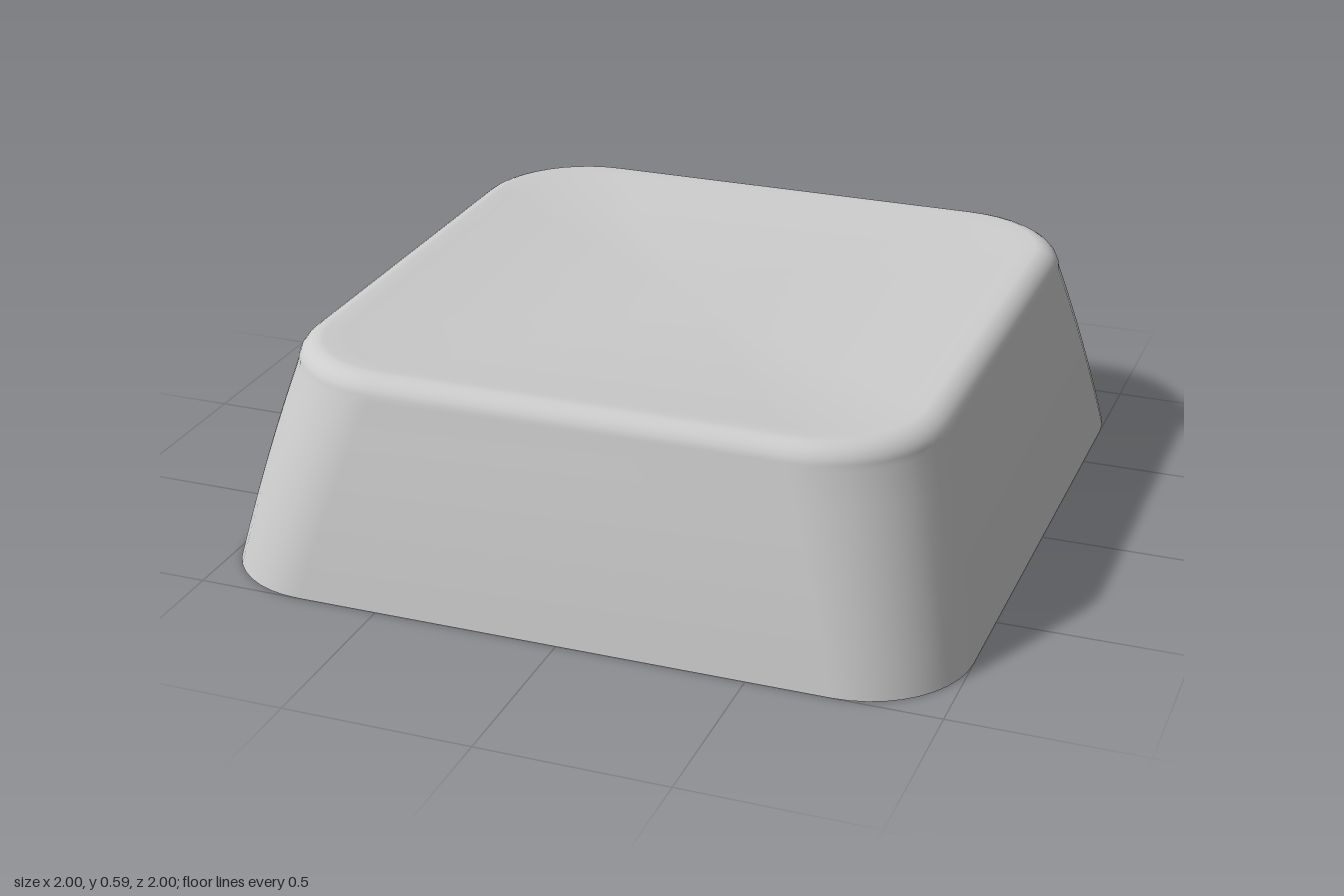
import * as THREE from 'three';

const CORNER_STEPS = 10;

// Rounded-square outline, returned as [x, z] points
function outline(half, radius) {
  const points = [];
  const c = half - radius;
  const signs = [[1, 1], [-1, 1], [-1, -1], [1, -1]];
  signs.forEach(([sx, sz], q) => {
    for (let i = 0; i <= CORNER_STEPS; i++) {
      const a = (q + i / CORNER_STEPS) * Math.PI / 2;
      points.push([sx * c + radius * Math.cos(a), sz * c + radius * Math.sin(a)]);
    }
  });
  return points;
}

// Skin stacked [half, radius, y] rings and close the last one at its centre
function skin(rings, centreY) {
  const positions = [], index = [];
  const n = 4 * (CORNER_STEPS + 1);
  for (const [half, radius, y] of rings) {
    for (const [x, z] of outline(half, radius)) positions.push(x, y, z);
  }
  positions.push(0, centreY, 0);
  const centre = rings.length * n;
  for (let j = 0; j < n; j++) {
    const k = (j + 1) % n;
    for (let i = 0; i < rings.length - 1; i++) {
      const a = i * n + j, b = i * n + k;
      index.push(a, a + n, b, b, a + n, b + n);
    }
    index.push(centre - n + j, centre, centre - n + k);
  }
  const geometry = new THREE.BufferGeometry();
  geometry.setAttribute('position', new THREE.Float32BufferAttribute(positions, 3));
  geometry.setIndex(index);
  geometry.computeVertexNormals();
  return geometry;
}

export function createModel() {
  const group = new THREE.Group();
  group.name = 'keycap';
  const plastic = new THREE.MeshStandardMaterial({ color: 0xcccccc });
  plastic.name = 'light grey plastic';

  // Gently bowed, tapering walls
  const rings = [];
  for (let i = 0; i <= 6; i++) {
    const t = i / 6;
    rings.push([1 - 0.1 * t - 0.022 * t * t, 0.28 + 0.045 * t, 0.53 * t]);
  }
  // Rounded rim
  for (let i = 1; i <= 6; i++) {
    const a = i / 6 * Math.PI / 2;
    const half = 0.81 + 0.068 * Math.cos(a);
    rings.push([half, half - 0.553, 0.53 + 0.06 * Math.sin(a)]);
  }
  // Shallow dish sinking towards the middle
  for (const half of [0.77, 0.72, 0.64, 0.52, 0.38, 0.2]) {
    const s = half / 0.81;
    rings.push([half, half * 0.32, 0.545 + 0.045 * s * s]);
  }
  const cap = new THREE.Mesh(skin(rings, 0.545), plastic);
  cap.name = 'capBody';

  // Flat underside
  const base = new THREE.Mesh(skin([[1, 0.28, 0]], 0), plastic);
  base.name = 'underside';
  base.rotation.x = Math.PI;

  group.add(cap, base);
  return group;
}
